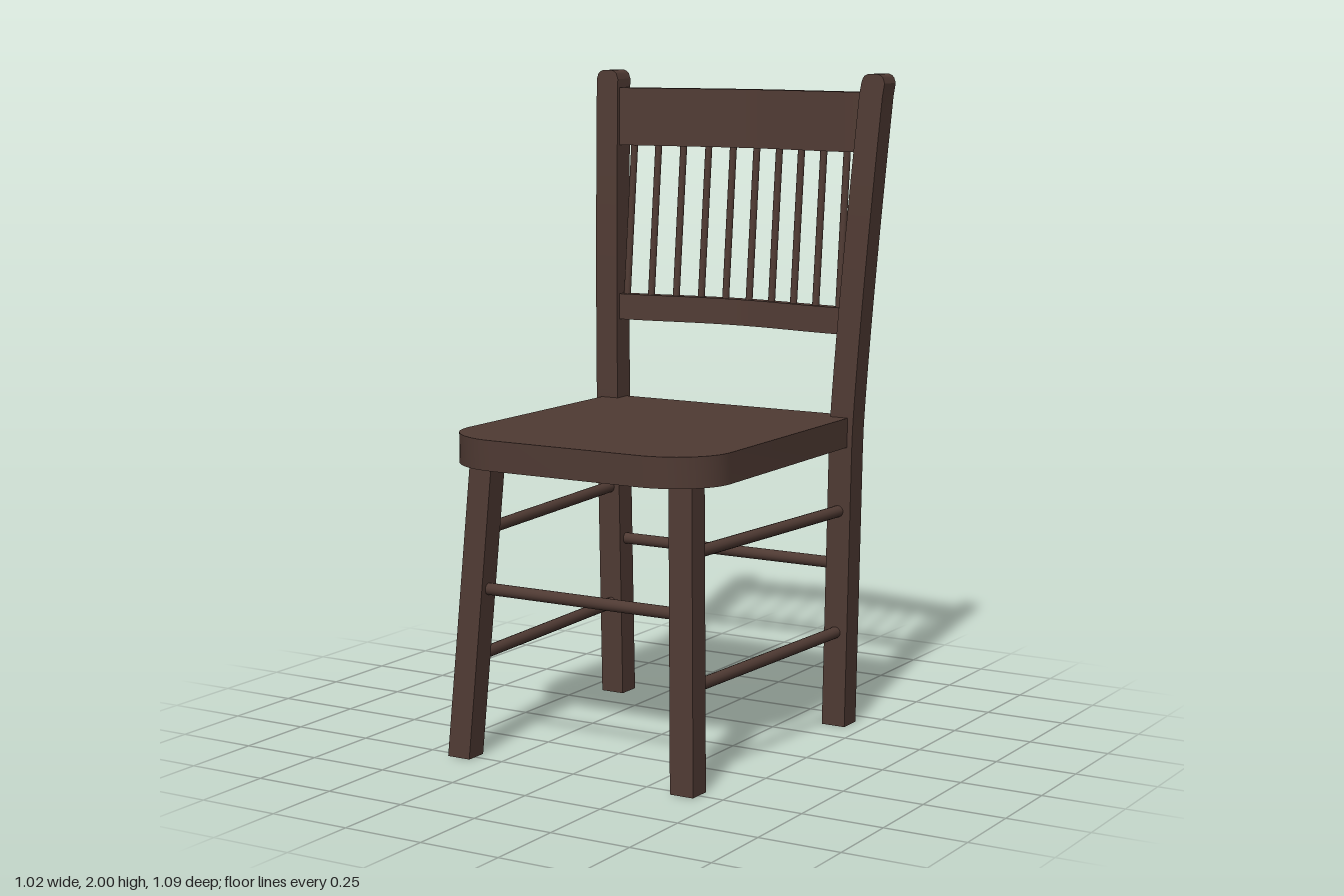
import * as THREE from 'three';
import { toCreasedNormals } from 'three/addons/utils/BufferGeometryUtils.js';

export function createModel() {
  const chair = new THREE.Group();
  chair.name = 'chair';
  const wood = new THREE.MeshStandardMaterial({ color: 0x4f3a33 });
  wood.name = 'dark wood';

  const add = (name, geometry) => {
    const mesh = new THREE.Mesh(geometry, wood);
    mesh.name = name;
    chair.add(mesh);
    return mesh;
  };

  // Move every vertex of a geometry by a rule
  const bend = (geometry, rule) => {
    const pos = geometry.attributes.position;
    const v = new THREE.Vector3();
    for (let i = 0; i < pos.count; i++) {
      rule(v.fromBufferAttribute(pos, i));
      pos.setXYZ(i, v.x, v.y, v.z);
    }
    geometry.computeVertexNormals();
    return geometry;
  };

  // Round bar between two points
  const rod = (name, a, b, radius) => {
    const from = new THREE.Vector3(...a), to = new THREE.Vector3(...b);
    const dir = to.clone().sub(from);
    const mesh = add(name, new THREE.CylinderGeometry(radius, radius, dir.length(), 16));
    mesh.position.copy(from).add(to).multiplyScalar(0.5);
    mesh.quaternion.setFromUnitVectors(new THREE.Vector3(0, 1, 0), dir.normalize());
  };

  // Flat plan outline (x, -z) raised from y0 to y1
  const slab = (shape, y0, y1) =>
    new THREE.ExtrudeGeometry(shape, { depth: y1 - y0, bevelEnabled: false, curveSegments: 16 })
      .rotateX(-Math.PI / 2).translate(0, y0, 0);

  // Seat with rounded front corners
  const seat = new THREE.Shape();
  seat.moveTo(-0.44, 0.42);
  seat.lineTo(-0.447, -0.37);
  seat.bezierCurveTo(-0.447, -0.47, -0.35, -0.545, -0.25, -0.545);
  seat.lineTo(0.25, -0.545);
  seat.bezierCurveTo(0.35, -0.545, 0.447, -0.47, 0.447, -0.37);
  seat.lineTo(0.44, 0.42);
  seat.closePath();
  add('seat', toCreasedNormals(slab(seat, 0.875, 0.965), 0.6));

  // Centre line of a back post and of a front leg at height y
  const postX = (y) => 0.402 + 0.016 * Math.min(1, y / 0.9) + 0.052 * Math.pow(Math.max(0, y - 0.9) / 1.1, 1.1);
  const postZ = (y) => -0.398 - 0.088 * Math.pow(Math.max(0, y - 0.9) / 1.1, 1.3);
  const legX = (y) => 0.383 - 0.05 * y;
  const legZ = (y) => 0.495 - 0.074 * y;

  for (const [side, s] of [['left', 1], ['right', -1]]) {
    // Back post: swept backwards and outwards, with a rounded top
    const W = 0.078, R = 0.028;
    const post = new THREE.BoxGeometry(W, 2, 0.076, 14, 30, 1).translate(0, 1, 0);
    add(side + 'BackPost', bend(post, (v) => {
      const y = v.y;
      if (y > 1.999) {
        const d = Math.min(R, Math.max(0, Math.abs(v.x) - (W / 2 - R)));
        v.y -= R - Math.sqrt(R * R - d * d);
      }
      v.x += s * postX(y);
      v.z += postZ(y);
    }));

    // Splayed front leg
    const leg = new THREE.BoxGeometry(0.076, 0.9, 0.072).translate(0, 0.45, 0);
    add(side + 'FrontLeg', bend(leg, (v) => {
      v.x += s * legX(v.y);
      v.z += legZ(v.y);
    }));

    // Side stretchers
    for (const [label, y] of [['Upper', 0.675], ['Lower', 0.295]]) {
      rod(side + label + 'Stretcher', [s * legX(y), y, legZ(y)], [s * postX(y), y, postZ(y)], 0.018);
    }
  }

  // Front and back stretchers
  const h = 0.505;
  rod('frontStretcher', [-legX(h), h, legZ(h)], [legX(h), h, legZ(h)], 0.018);
  rod('backStretcher', [-postX(h), h, postZ(h)], [postX(h), h, postZ(h)], 0.018);

  // Bowed back rails: rear face depth at x, y
  const bow = (x) => -0.0225 * (1 + Math.cos(Math.PI * Math.min(1, Math.abs(x) / 0.43)));
  const lean = (y) => -0.43 - 0.096 * (y - 1.215);
  const rail = (name, half, y0, y1, thick) => {
    const shape = new THREE.Shape();
    const n = 32;
    for (let i = 0; i <= n; i++) {
      const x = -half + (2 * half * i) / n;
      const z = bow(x) + thick;
      if (i) shape.lineTo(x, -z);
      else shape.moveTo(x, -z);
    }
    for (let i = n; i >= 0; i--) {
      const x = -half + (2 * half * i) / n;
      shape.lineTo(x, -bow(x));
    }
    shape.closePath();
    const geometry = bend(slab(shape, y0, y1), (v) => { v.z += lean(v.y); });
    add(name, toCreasedNormals(geometry, 0.6));
  };
  rail('topRail', 0.45, 1.765, 1.945, 0.046);
  rail('lowerRail', 0.42, 1.215, 1.295, 0.04);

  // Spindles between the rails
  for (let i = 0; i < 10; i++) {
    const x = (i - 4.5) * 0.084;
    const z = (y) => lean(y) + bow(x) + 0.021;
    rod('spindle' + (i + 1), [x, 1.26, z(1.26)], [x, 1.8, z(1.8)], 0.011);
  }

  return chair;
}
